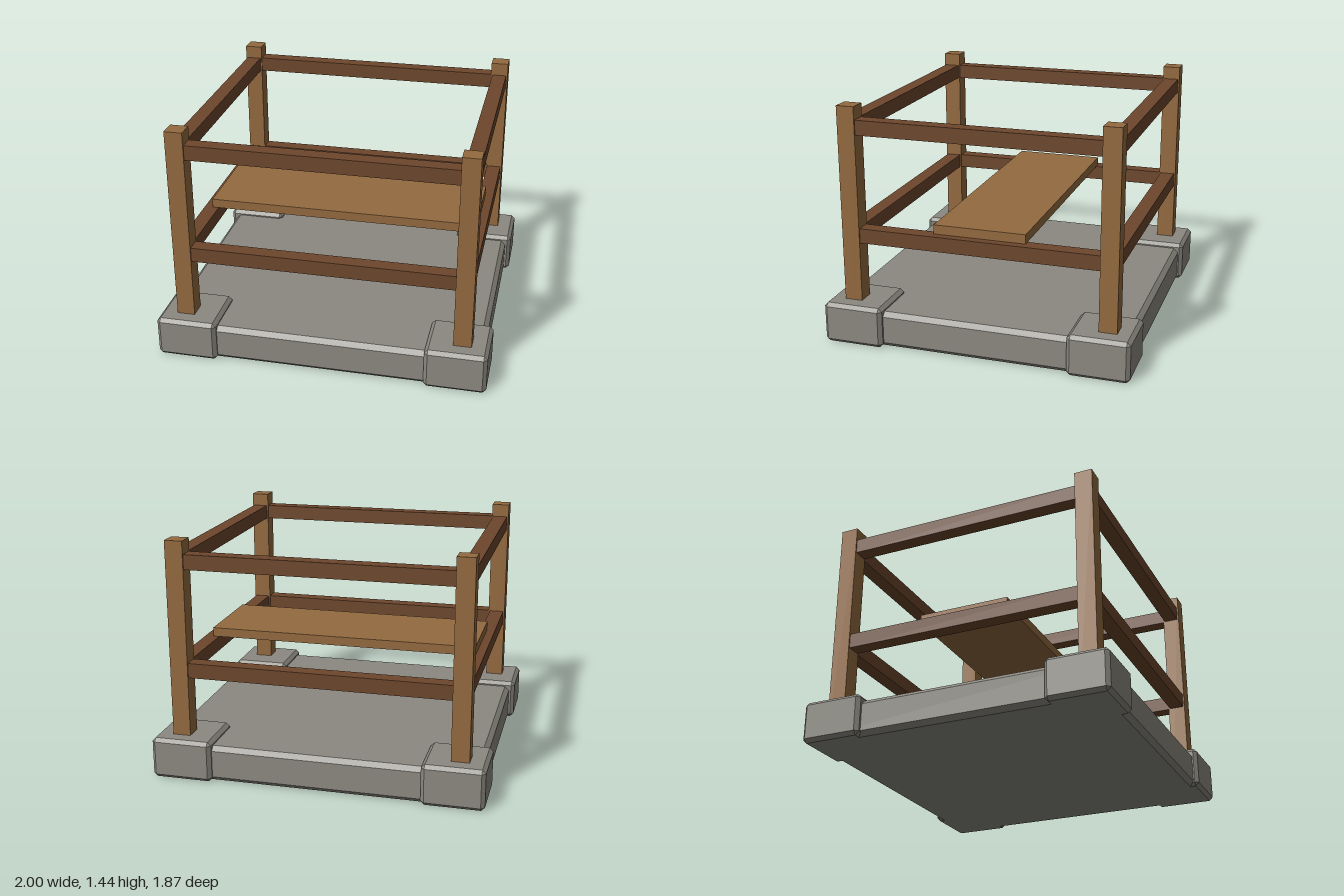
import * as THREE from 'three';
import { ConvexGeometry } from 'three/addons/geometries/ConvexGeometry.js';

const stone = new THREE.MeshStandardMaterial({ name: 'stone', color: 0x8b8980 });
const lightWood = new THREE.MeshStandardMaterial({ name: 'lightWood', color: 0x946a3f });
const darkWood = new THREE.MeshStandardMaterial({ name: 'darkWood', color: 0x6d472c });

// Box with every edge cut at 45 degrees
function chamferedBox(w, h, d, c) {
  const points = [];
  const [x, y, z] = [w / 2, h / 2, d / 2];
  for (const sx of [-1, 1]) for (const sy of [-1, 1]) for (const sz of [-1, 1]) {
    points.push(
      new THREE.Vector3(sx * x, sy * (y - c), sz * (z - c)),
      new THREE.Vector3(sx * (x - c), sy * y, sz * (z - c)),
      new THREE.Vector3(sx * (x - c), sy * (y - c), sz * z),
    );
  }
  return new ConvexGeometry(points);
}

export function createModel() {
  const model = new THREE.Group();
  model.name = 'railedPlatform';

  const add = (name, geometry, material, x, y, z) => {
    const mesh = new THREE.Mesh(geometry, material);
    mesh.name = name;
    mesh.position.set(x, y, z);
    model.add(mesh);
  };

  const postX = 0.842, postZ = 0.783;
  const postSize = 0.108, railSize = 0.09;

  // Stone base
  add('baseSlab', chamferedBox(1.93, 0.22, 1.81, 0.028), stone, 0, 0.11, 0);

  // Corner footings and posts
  const footing = chamferedBox(0.37, 0.25, 0.37, 0.022);
  const post = new THREE.BoxGeometry(postSize, 1.436, postSize);
  for (const sx of [-1, 1]) for (const sz of [-1, 1]) {
    const corner = (sz > 0 ? 'front' : 'back') + (sx > 0 ? 'Left' : 'Right');
    add(corner + 'Footing', footing, stone, sx * 0.815, 0.125, sz * 0.75);
    add(corner + 'Post', post, lightWood, sx * postX, 0.722, sz * postZ);
  }

  // Lower and upper rails between the posts
  const longRail = new THREE.BoxGeometry(2 * postX - postSize, railSize, railSize);
  const sideRail = new THREE.BoxGeometry(railSize, railSize, 2 * postZ - postSize);
  for (const [level, y] of [['Lower', 0.658], ['Upper', 1.315]]) {
    for (const s of [-1, 1]) {
      add((s > 0 ? 'front' : 'back') + level + 'Rail', longRail, darkWood, 0, y, s * postZ);
      add((s > 0 ? 'left' : 'right') + level + 'Rail', sideRail, darkWood, s * postX, y, 0);
    }
  }

  // Plank resting on the lower side rails
  add('plank', new THREE.BoxGeometry(1.67, 0.056, 0.56), lightWood, 0, 0.731, 0);

  return model;
}
